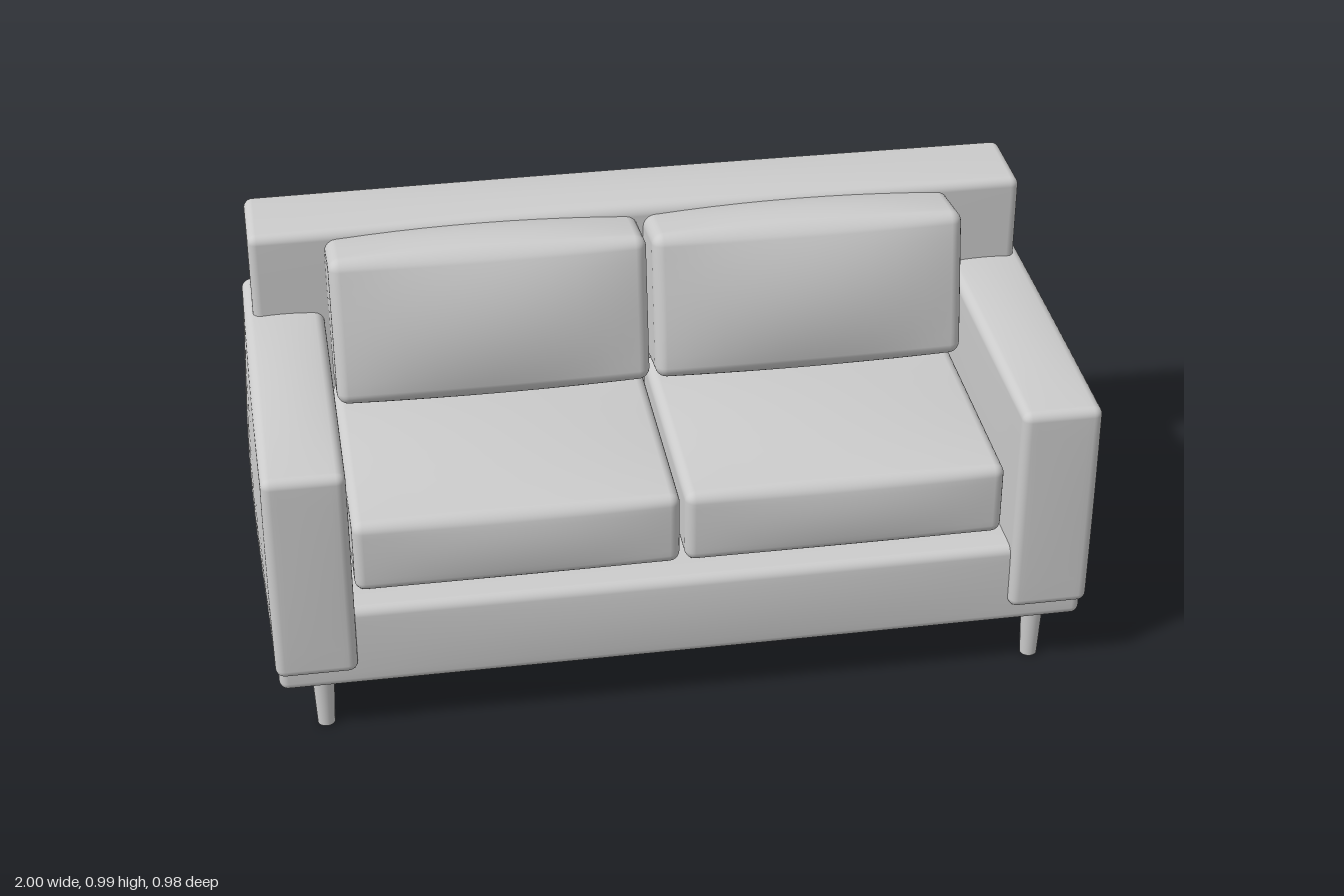
import * as THREE from 'three';
import { mergeVertices } from 'three/addons/utils/BufferGeometryUtils.js';

const CORNER = 3, INNER = 10; // segments in each rounded edge and across each flat face

// Spaces grid lines so that they gather in the rounded edges; t runs from -1 to 1.
function place(t, half, r) {
  const n = CORNER * 2 + INNER;
  const i = Math.round((t + 1) / 2 * n);
  const k = Math.min(i, n - i);
  if (k >= CORNER) return (i - n / 2) / (INNER / 2) * (half - r);
  return Math.sign(t) * (half - r + r * Math.tan((CORNER - k) / CORNER * Math.PI / 4));
}

// Upholstered box between two corners; bulge lists the padding of -x, +x, -y, +y, -z, +z.
function softBox(min, max, r, bulge) {
  const size = max.map((v, i) => v - min[i]);
  const half = size.map((s) => s / 2);
  const n = CORNER * 2 + INNER;
  let geo = new THREE.BoxGeometry(2, 2, 2, n, n, n);
  geo.deleteAttribute('uv');
  geo.deleteAttribute('normal');
  geo = mergeVertices(geo);
  const pos = geo.attributes.position;
  for (let i = 0; i < pos.count; i++) {
    const p = [pos.getX(i), pos.getY(i), pos.getZ(i)].map((t, a) => place(t, half[a], r));
    const core = p.map((v, a) => THREE.MathUtils.clamp(v, r - half[a], half[a] - r));
    const out = new THREE.Vector3(...p.map((v, a) => v - core[a])).setLength(r).toArray();
    const q = core.map((v, a) => v + out[a]);
    const u = q.map((v, a) => v / half[a]);
    const puffed = q.map((v, a) => {
      const b = u[(a + 1) % 3], c = u[(a + 2) % 3];
      const pad = bulge[a * 2 + (u[a] > 0 ? 1 : 0)];
      return v + u[a] * pad * (1 - b * b) * (1 - c * c);
    });
    pos.setXYZ(i, ...puffed);
  }
  geo.computeVertexNormals();
  return geo;
}

export function createModel() {
  const sofa = new THREE.Group();
  sofa.name = 'sofa';
  const grey = new THREE.MeshStandardMaterial({ color: 0xcccccc });
  grey.name = 'light grey';

  const add = (name, geo, x = 0, y = 0, z = 0) => {
    const mesh = new THREE.Mesh(geo, grey);
    mesh.name = name;
    mesh.position.set(x, y, z);
    sofa.add(mesh);
    return mesh;
  };
  const addSoft = (name, min, max, r, bulge) =>
    add(name, softBox(min, max, r, bulge), ...min.map((v, i) => (v + max[i]) / 2));

  // Frame and backrest
  addSoft('base', [-0.975, 0.14, -0.46], [0.975, 0.36, 0.465], 0.022, [0, 0, 0.014, 0, 0, 0.008]);
  addSoft('backrest', [-0.96, 0.145, -0.467], [0.96, 0.972, -0.245], 0.022, [0, 0, 0, 0.014, 0.024, 0]);

  for (const side of [-1, 1]) {
    const label = side > 0 ? 'left' : 'right';
    // Places a part by its inner and outer x on this side
    const span = (a, b) => (side > 0 ? [a, b] : [-b, -a]);

    // Arm, padded mostly on its outer face
    const [a0, a1] = span(0.788, 0.981);
    addSoft(label + 'Arm', [a0, 0.195, -0.458], [a1, 0.75, 0.49], 0.022,
      side > 0 ? [0.004, 0.019, 0, 0.009, 0, 0.003] : [0.019, 0.004, 0, 0.009, 0, 0.003]);

    // Seat cushion
    const [c0, c1] = span(0.006, 0.78);
    addSoft(label + 'SeatCushion', [c0, 0.362, -0.25], [c1, 0.552, 0.405], 0.025,
      [0, 0, 0, 0.022, 0, 0.012]);

    // Back cushion, leaning into the backrest
    const [b0, b1] = span(0.007, 0.776);
    const cushion = addSoft(label + 'BackCushion', [b0, 0.588, -0.26], [b1, 0.962, -0.06], 0.028,
      [0, 0, 0.018, 0.022, 0, 0.035]);
    cushion.rotation.x = -0.16;

    // Tapered legs
    for (const [where, z] of [['Front', 0.408], ['Back', -0.355]]) {
      add(label + where + 'Leg', new THREE.CylinderGeometry(0.028, 0.021, 0.16, 20), side * 0.87, 0.08, z);
    }
  }
  return sofa;
}
